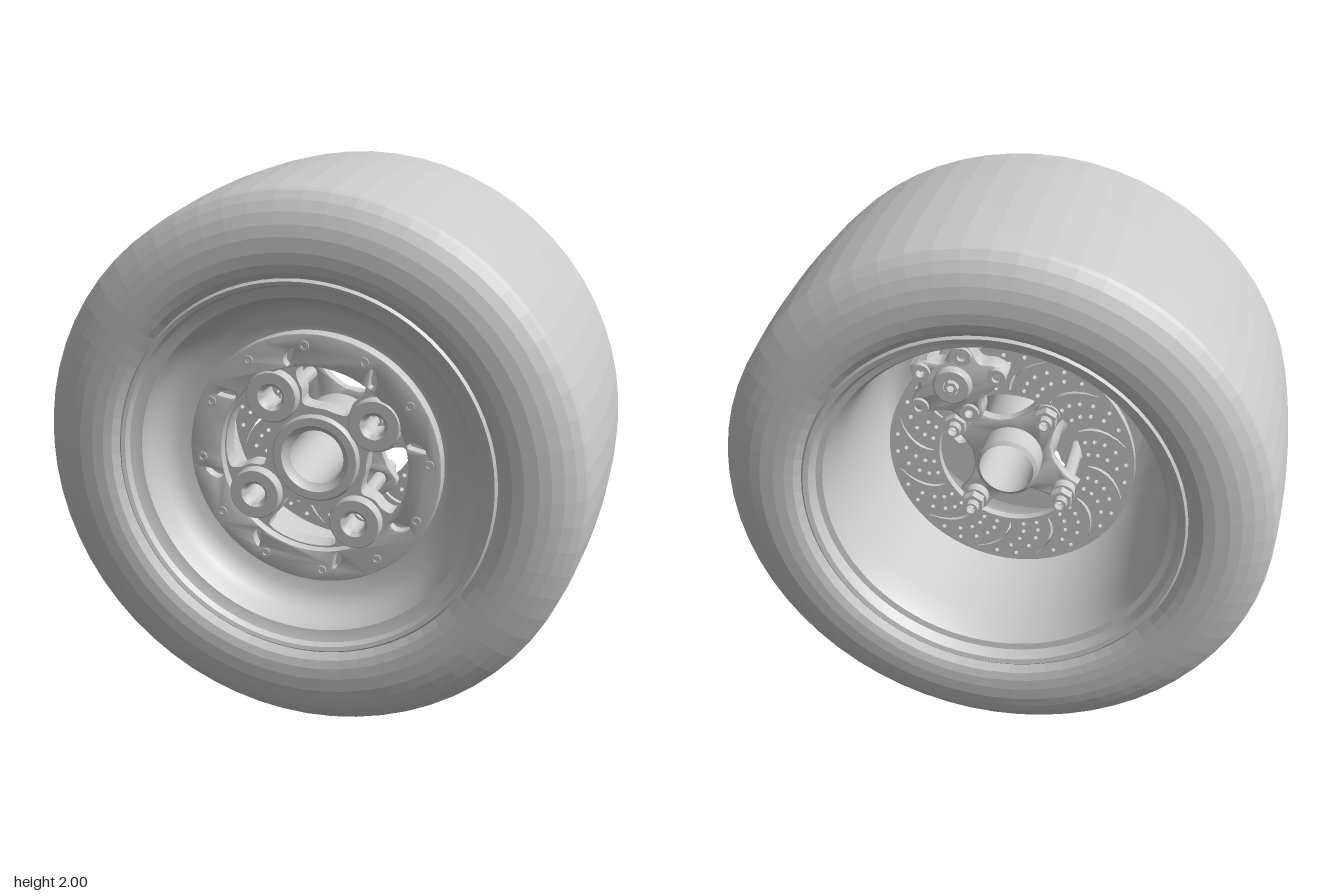
import * as THREE from 'three';
import { toCreasedNormals } from 'three/addons/utils/BufferGeometryUtils.js';

const grey = new THREE.MeshStandardMaterial({ color: 0xcccccc });
const faceted = new THREE.MeshStandardMaterial({ color: 0xcccccc, flatShading: true });
const rad = THREE.MathUtils.degToRad;
const polar = (r, deg) => new THREE.Vector2(r * Math.cos(rad(deg)), r * Math.sin(rad(deg)));
const LUGS = [0, 1, 2, 3].map((k) => 34.5 + 90 * k);

function add(parent, name, geo, mat = grey) {
  const mesh = new THREE.Mesh(mat === grey ? toCreasedNormals(geo, 0.6) : geo, mat);
  mesh.name = name;
  parent.add(mesh);
  return mesh;
}

// closed [radius, z] loop revolved about the axle; up the outside, down the inside
function ring(loop, segments = 64) {
  const pts = [...loop, loop[0]].map(([r, z]) => new THREE.Vector2(r, z));
  return new THREE.LatheGeometry(pts, segments).rotateX(Math.PI / 2);
}
const tube = (ro, ri, z0, z1, n = 24) => ring([[ro, z0], [ro, z1], [ri, z1], [ri, z0]], n);

function plate(shape, z0, z1, bevel = 0) {
  return new THREE.ExtrudeGeometry(shape, {
    depth: z1 - z0 - 2 * bevel, curveSegments: 32, steps: 1,
    bevelEnabled: bevel > 0, bevelThickness: bevel, bevelSize: bevel, bevelOffset: -bevel, bevelSegments: 2,
  }).translate(0, 0, z0 + bevel);
}

// round outline or hole from a few points
function circle(r, c = new THREE.Vector2(), n = 48) {
  return Array.from({ length: n }, (_, i) => polar(r, (360 * i) / n).add(c));
}
const smooth = (pts, n = 48) =>
  new THREE.CatmullRomCurve3(pts.map((p) => new THREE.Vector3(p.x, p.y, 0)), true).getPoints(n).slice(0, n)
    .map((p) => new THREE.Vector2(p.x, p.y));
function cutShape(outline, holes) {
  const s = new THREE.Shape(outline);
  s.holes = holes.map((h) => new THREE.Path(h));
  return s;
}
// thin swept slot between two radii
function slot(r0, r1, a0, a1, width) {
  const left = [], right = [];
  for (let i = 0; i <= 6; i++) {
    const t = i / 6, r = r0 + (r1 - r0) * t, a = a0 + (a1 - a0) * t * t;
    const w = width * Math.sqrt(Math.max(0.12, 1 - (2 * t - 1) ** 2));
    const d = THREE.MathUtils.radToDeg(w / 2 / r);
    left.push(polar(r, a - d));
    right.unshift(polar(r, a + d));
  }
  return [...left, ...right];
}

function addTyre(g) {
  const half = [
    [1, 0], [0.997, 0.14], [0.991, 0.28], [0.98, 0.41], [0.972, 0.425], [0.945, 0.45],
    [0.91, 0.472], [0.87, 0.488], [0.83, 0.497], [0.78, 0.5], [0.74, 0.497], [0.71, 0.488], [0.685, 0.465], [0.67, 0.43],
  ];
  const back = half.slice(1).reverse().map(([r, z]) => [r, -z]);
  add(g, 'tyre', ring([...back, ...half], 64), faceted);
}

function addRim(g) {
  add(g, 'rim', ring([
    [0.66, -0.47], [0.678, -0.475], [0.688, -0.465], [0.688, -0.43], [0.65, -0.4],
    [0.65, 0.4], [0.688, 0.43], [0.688, 0.465], [0.678, 0.477], [0.664, 0.472],
    [0.655, 0.45], [0.635, 0.44], [0.615, 0.435], [0.606, 0.42], [0.6, 0.38], [0.585, 0.345],
    [0.56, 0.315], [0.53, 0.298], [0.5, 0.292], [0.48, 0.285], [0.45, 0.285],
    [0.45, 0.255], [0.5, 0.25], [0.54, 0.23], [0.565, 0.19], [0.58, 0.1], [0.595, -0.3],
    [0.61, -0.4], [0.622, -0.425], [0.645, -0.43],
  ], 96));
}

function addWheelCentre(g) {
  const c = new THREE.Group();
  c.name = 'wheelCentre';
  g.add(c);
  const lugHoles = LUGS.map((a) => circle(0.036, polar(0.27, a), 20));
  // four bean-shaped windows between the lugs
  const windows = LUGS.map((a) => {
    const m = a + 45;
    return smooth([[0.335, -22], [0.342, 0], [0.335, 22], [0.3, 24], [0.255, 22], [0.205, 24],
      [0.188, 14], [0.186, 0], [0.188, -14], [0.205, -24], [0.255, -22], [0.3, -24]].map(([r, d]) => polar(r, m + d)));
  });
  add(c, 'spider', plate(cutShape(circle(0.455, undefined, 72), [circle(0.11), ...windows, ...lugHoles]), 0.23, 0.305));
  // outer face ring with leaf-shaped pockets beside each lug
  const pockets = LUGS.flatMap((a) => [slot(0.355, 0.415, a - 20, a - 24, 0.03), slot(0.355, 0.415, a + 20, a + 24, 0.03)]);
  add(c, 'faceRing', plate(cutShape(circle(0.465, undefined, 96), [circle(0.347, undefined, 72), ...pockets]), 0.285, 0.34, 0.004));
  LUGS.forEach((a) => {
    const p = polar(0.27, a);
    add(c, 'lugBoss', ring([[0.095, 0.23], [0.095, 0.34], [0.09, 0.345], [0.05, 0.345], [0.036, 0.33], [0.036, 0.23]], 32))
      .position.set(p.x, p.y, 0);
  });
  for (let i = 0; i < 12; i++) {
    const p = polar(0.422, 4 + 30 * i);
    add(c, 'ringBolt', ring([[0.018, 0.33], [0.018, 0.346], [0.009, 0.346], [0.009, 0.33]], 16)).position.set(p.x, p.y, 0);
  }
}

function addHub(g) {
  add(g, 'hub', ring([
    [0.1, -0.19], [0.115, -0.18], [0.115, -0.04], [0.15, 0.02], [0.15, 0.2], [0.162, 0.22], [0.162, 0.315],
    [0.154, 0.325], [0.125, 0.325], [0.115, 0.31], [0.1, 0.3],
  ], 48));
}

function addBrakeDisc(g) {
  const d = new THREE.Group();
  d.name = 'brakeDisc';
  g.add(d);
  // every third spiral row is a slot, the others are drilled
  const holes = [];
  for (let row = 0; row < 36; row++) {
    const a = row * 10;
    if (row % 3 === 0) holes.push(slot(0.29, 0.435, a, a + 17, 0.012));
    else for (let k = 0; k < 5; k++) {
      const t = k / 4;
      holes.push(circle(0.0085, polar(0.295 + 0.135 * t, a + 17 * t * t), 8));
    }
  }
  add(d, 'rotor', plate(cutShape(circle(0.46, undefined, 96), [circle(0.27, undefined, 64), ...holes]), -0.115, -0.085));
  // four-armed carrier joining the rotor to the hub
  const outline = smooth(LUGS.flatMap((a) => [[0.29, -11], [0.3, 0], [0.29, 11], [0.22, 15], [0.155, 33], [0.15, 45], [0.155, 57], [0.22, 75]]
    .map(([r, o]) => polar(r, a + o))), 128);
  add(d, 'carrier', plate(cutShape(outline, [circle(0.1), ...LUGS.map((a) => circle(0.026, polar(0.24, a), 16))]), -0.085, -0.045, 0.005));
  // studs with hexagonal nuts on the inner side
  LUGS.forEach((a) => {
    const s = new THREE.Group(), p = polar(0.24, a);
    s.name = 'stud';
    s.position.set(p.x, p.y, 0);
    add(s, 'sleeve', tube(0.026, 0.018, -0.19, 0.24, 16));
    add(s, 'nut', tube(0.042, 0.018, -0.16, -0.125, 6));
    add(s, 'washer', tube(0.047, 0.018, -0.125, -0.085, 20));
    d.add(s);
  });
}

// local +y points away from the axle
function addCaliper(g) {
  const c = new THREE.Group();
  c.name = 'brakeCaliper';
  c.rotation.z = rad(62 - 90);
  g.add(c);
  const lobes = [[-0.16, 0.36], [0.16, 0.36], [-0.085, 0.48], [0.085, 0.48], [0, 0.27]].map(([x, y]) => new THREE.Vector2(x, y));
  const outline = smooth([[-0.195, 0.35], [-0.17, 0.4], [-0.125, 0.43], [-0.12, 0.505], [-0.06, 0.51], [0, 0.48],
    [0.06, 0.51], [0.12, 0.505], [0.125, 0.43], [0.17, 0.4], [0.195, 0.35], [0.15, 0.325],
    [0.07, 0.3], [0.035, 0.24], [-0.035, 0.24], [-0.07, 0.3], [-0.15, 0.325]].map(([x, y]) => new THREE.Vector2(x, y)), 80);
  const holes = lobes.map((p) => circle(0.016, p, 16));
  add(c, 'innerBody', plate(cutShape(outline, holes), -0.21, -0.13, 0.012));
  add(c, 'outerBody', plate(cutShape(outline, holes), -0.07, 0.01, 0.012));
  for (const x of [-0.085, 0.085]) {
    const bridge = add(c, 'bridge', new THREE.BoxGeometry(0.07, 0.04, 0.18));
    bridge.position.set(x, 0.492, -0.1);
  }
  lobes.forEach((p) => {
    add(c, 'boltBoss', ring([[0.034, -0.2], [0.034, -0.225], [0.034, -0.2]].slice(1).concat([[0.016, -0.2], [0.016, -0.225]]), 20))
      .position.set(p.x, p.y, 0);
  });
  // piston cap with a socket in the middle
  add(c, 'pistonCap', ring([[0.062, -0.24], [0.07, -0.232], [0.07, -0.2], [0.03, -0.2], [0.03, -0.24]], 32)).position.y = 0.395;
  add(c, 'pistonSocket', tube(0.026, 0.014, -0.25, -0.2, 6)).position.y = 0.395;
}

export function createModel() {
  const wheel = new THREE.Group();
  wheel.name = 'wheel';
  wheel.position.y = 1;
  [addTyre, addRim, addWheelCentre, addHub, addBrakeDisc, addCaliper].forEach((build) => build(wheel));
  const model = new THREE.Group();
  model.name = 'wheelAssembly';
  model.add(wheel);
  return model;
}
